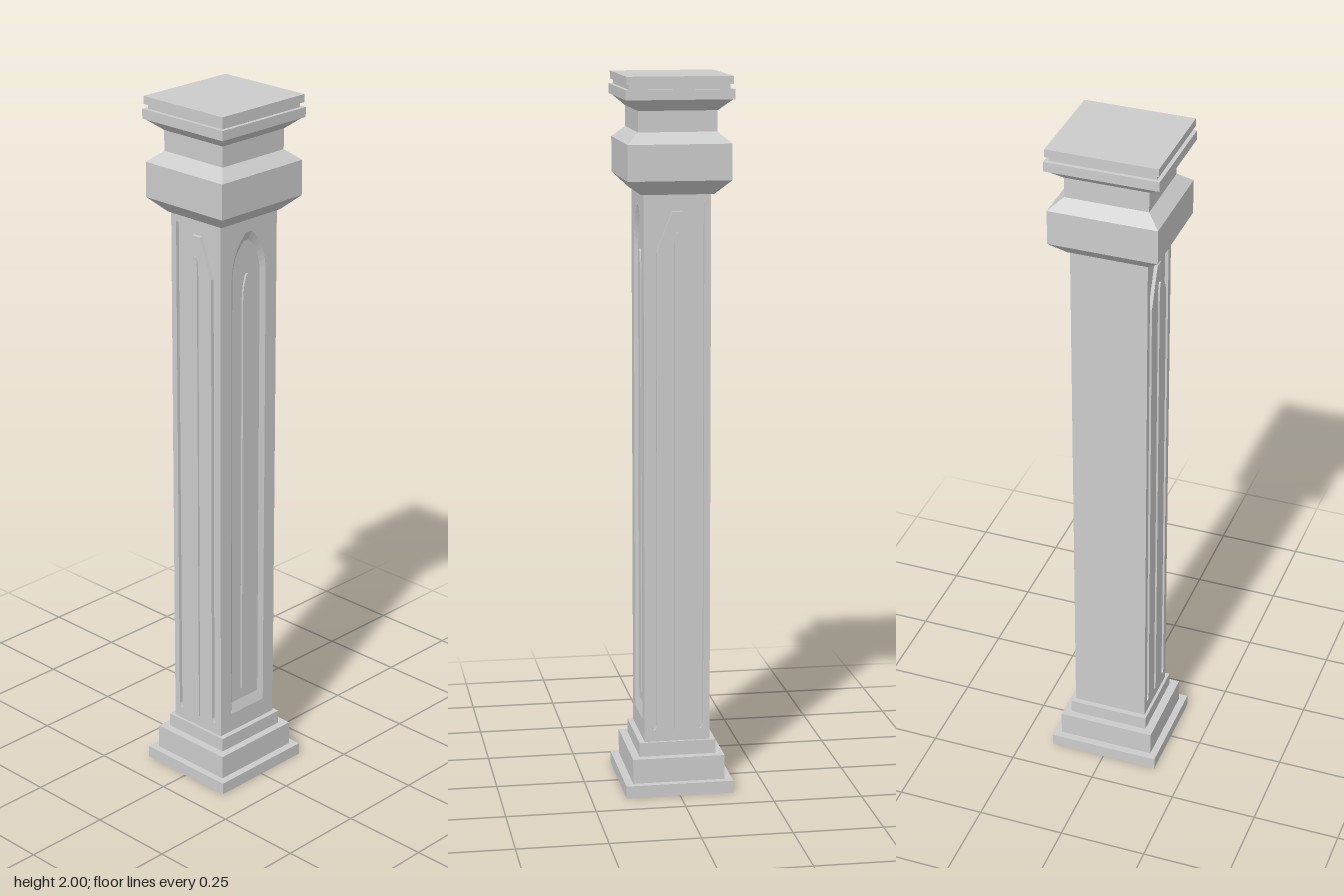
import * as THREE from 'three';

const material = new THREE.MeshStandardMaterial({ color: 0xcccccc, flatShading: true });

function addMesh(parent, name, geometry) {
  const mesh = new THREE.Mesh(geometry, material);
  mesh.name = name;
  parent.add(mesh);
  return mesh;
}

// Rectangular tier from y0 to y1; [half width, half depth] at the bottom and top
function tier(y0, y1, bottom, top = bottom) {
  const geo = new THREE.BoxGeometry(2, 1, 2);
  const p = geo.attributes.position;
  for (let i = 0; i < p.count; i++) {
    const up = p.getY(i) > 0;
    const [hx, hz] = up ? top : bottom;
    p.setXYZ(i, p.getX(i) * hx, up ? y1 : y0, p.getZ(i) * hz);
  }
  geo.computeVertexNormals();
  return geo;
}

// Pointed arch outline, counter-clockwise, always with the same point count
function lancet(w, y0, spring, peak) {
  const bend = spring + (peak - spring) * 0.65;
  const shape = new THREE.Shape();
  shape.moveTo(-w, y0);
  shape.lineTo(w, y0);
  shape.lineTo(w, spring);
  shape.quadraticCurveTo(w, bend, w * 0.16, peak - 0.004);
  shape.lineTo(-w * 0.16, peak - 0.004);
  shape.quadraticCurveTo(-w, bend, -w, spring);
  return shape.getPoints(8);
}

// Sloping band between two matching outlines at depths zOuter and zInner
function slopedBand(outer, inner, zOuter, zInner) {
  const pos = [];
  const n = outer.length;
  for (let i = 0; i < n; i++) {
    const j = (i + 1) % n;
    const a = [outer[i].x, outer[i].y, zOuter], b = [outer[j].x, outer[j].y, zOuter];
    const c = [inner[j].x, inner[j].y, zInner], d = [inner[i].x, inner[i].y, zInner];
    pos.push(...a, ...b, ...c, ...a, ...c, ...d);
  }
  const geo = new THREE.BufferGeometry();
  geo.setAttribute('position', new THREE.Float32BufferAttribute(pos, 3));
  geo.computeVertexNormals();
  return geo;
}

const extrude = (shape, depth, z) =>
  new THREE.ExtrudeGeometry(shape, { depth, bevelEnabled: false, curveSegments: 6 }).translate(0, 0, z);

function rectangle(w, y0, y1) {
  return new THREE.Shape([[-w, y0], [w, y0], [w, y1], [-w, y1]].map(([x, y]) => new THREE.Vector2(x, y)));
}

const HX = 0.0925, HZ = 0.108, SKIN = 0.01, Y0 = 0.145, Y1 = 1.685;

// Groove that follows a rectangle outside and a pointed arch inside
function archGroove() {
  const path = new THREE.Path();
  path.moveTo(-0.074, 0.19);
  path.lineTo(-0.074, 1.66);
  path.lineTo(0.074, 1.66);
  path.lineTo(0.074, 0.19);
  path.quadraticCurveTo(0.0655, 0.165, 0.057, 0.19);
  path.lineTo(0.057, 1.525);
  path.lineTo(0.014, 1.635);
  path.lineTo(-0.014, 1.635);
  path.lineTo(-0.057, 1.525);
  path.lineTo(-0.057, 0.19);
  path.quadraticCurveTo(-0.0655, 0.165, -0.074, 0.19);
  return path;
}

// Grooved face with a slim raised rib, used on front and back
function groovedFace(name) {
  const group = new THREE.Group();
  group.name = name;
  const face = rectangle(HX, Y0, Y1);
  face.holes.push(archGroove());
  addMesh(group, 'groovedPanel', extrude(face, SKIN, HZ - SKIN));
  const rib = new THREE.Shape(lancet(0.009, 0.18, 1.54, 1.584));
  addMesh(group, 'centreRib', extrude(rib, 0.006, HZ - 0.001));
  return group;
}

// Sunken lancet panel with a bevelled surround
function lancetFace(name) {
  const group = new THREE.Group();
  group.name = name;
  const outer = lancet(0.066, 0.2, 1.51, 1.648);
  const inner = lancet(0.053, 0.23, 1.51, 1.622);
  const face = rectangle(HZ - SKIN, Y0, Y1);
  face.holes.push(new THREE.Path(outer));
  addMesh(group, 'lancetSurround', extrude(face, SKIN, HX - SKIN));
  addMesh(group, 'lancetBevel', slopedBand(outer, inner, HX, HX - SKIN));
  const rib = new THREE.Shape(lancet(0.017, 0.265, 1.44, 1.528));
  addMesh(group, 'lancetRib', extrude(rib, 0.006, HX - SKIN));
  return group;
}

export function createModel() {
  const model = new THREE.Group();
  model.name = 'pillar';

  // Stepped base
  const base = new THREE.Group();
  base.name = 'base';
  addMesh(base, 'plinth', tier(0, 0.035, [0.152, 0.16]));
  addMesh(base, 'middleStep', tier(0.035, 0.105, [0.13, 0.14]));
  addMesh(base, 'upperStep', tier(0.105, 0.145, [0.108, 0.116]));
  model.add(base);

  // Shaft: plain on the right, panelled on the other three sides
  const shaft = new THREE.Group();
  shaft.name = 'shaft';
  const core = tier(Y0, Y1, [HX - SKIN / 2, HZ - SKIN]);
  addMesh(shaft, 'shaftCore', core.translate(-SKIN / 2, 0, 0));
  const back = groovedFace('backFace');
  back.rotation.y = Math.PI;
  const left = lancetFace('leftFace');
  left.rotation.y = Math.PI / 2;
  shaft.add(groovedFace('frontFace'), back, left);
  model.add(shaft);

  // Capital, from the lower flare to the top slab
  const capital = new THREE.Group();
  capital.name = 'capital';
  const block = [0.142, 0.152], neck = [0.108, 0.116];
  addMesh(capital, 'lowerFlare', tier(1.682, 1.722, [0.1, 0.112], block));
  addMesh(capital, 'block', tier(1.722, 1.82, block));
  addMesh(capital, 'blockSlope', tier(1.82, 1.85, block, neck));
  addMesh(capital, 'neck', tier(1.85, 1.907, neck));
  addMesh(capital, 'upperFlare', tier(1.907, 1.938, neck, [0.144, 0.153]));
  addMesh(capital, 'band', tier(1.938, 1.965, [0.148, 0.157]));
  addMesh(capital, 'shadowGap', tier(1.965, 1.978, [0.137, 0.146]));
  addMesh(capital, 'topSlab', tier(1.978, 2, [0.145, 0.154]));
  model.add(capital);

  return model;
}
